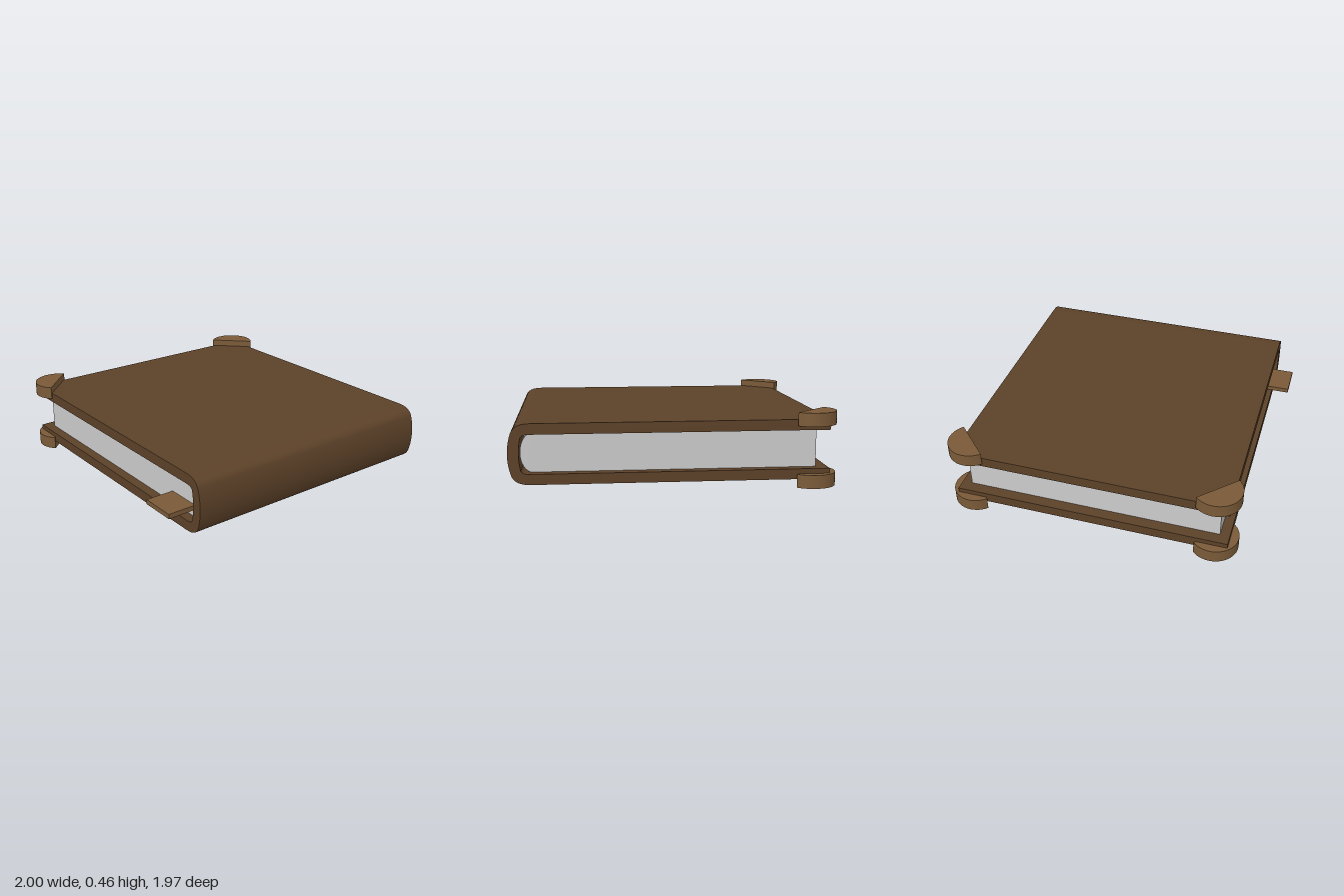
import * as THREE from 'three';
import { toCreasedNormals } from 'three/addons/utils/BufferGeometryUtils.js';

const material = (color) => new THREE.MeshStandardMaterial({ color });

// Extrude a shape along z from z0 to z1, keeping curved walls smooth
function extrude(shape, z0, z1) {
  const geometry = new THREE.ExtrudeGeometry(shape, { depth: z1 - z0, bevelEnabled: false, curveSegments: 12 });
  geometry.translate(0, 0, z0);
  return toCreasedNormals(geometry, Math.PI / 5);
}

export function createModel() {
  const group = new THREE.Group();
  const leather = material(0x5c4128);
  const trim = material(0x7a5a38);
  const paper = material(0xcccccc);

  const add = (name, geometry, mat) => {
    const mesh = new THREE.Mesh(geometry, mat);
    mesh.name = name;
    group.add(mesh);
    return mesh;
  };

  // Cover: both boards and the rounded spine as one C-shaped profile
  const cover = new THREE.Shape();
  cover.moveTo(-0.945, 0.05);
  cover.lineTo(0.86, 0.05);
  cover.bezierCurveTo(0.93, 0.05, 0.965, 0.07, 0.98, 0.11);
  cover.bezierCurveTo(1.007, 0.19, 1.007, 0.28, 0.98, 0.36);
  cover.bezierCurveTo(0.965, 0.4, 0.93, 0.418, 0.86, 0.418);
  cover.lineTo(-0.945, 0.418);
  cover.lineTo(-0.945, 0.352);
  cover.lineTo(0.87, 0.352);
  cover.quadraticCurveTo(0.91, 0.352, 0.922, 0.335);
  cover.quadraticCurveTo(0.945, 0.234, 0.922, 0.133);
  cover.quadraticCurveTo(0.91, 0.114, 0.87, 0.114);
  cover.lineTo(-0.945, 0.114);
  cover.closePath();
  add('cover', extrude(cover, -0.93, 0.857), leather);

  // Page block, rounded towards the spine
  const pages = new THREE.Shape();
  pages.moveTo(-0.873, 0.113);
  pages.lineTo(0.86, 0.113);
  pages.bezierCurveTo(0.905, 0.125, 0.929, 0.175, 0.929, 0.233);
  pages.bezierCurveTo(0.929, 0.291, 0.905, 0.341, 0.86, 0.353);
  pages.lineTo(-0.873, 0.353);
  pages.closePath();
  add('pages', extrude(pages, -0.865, 0.795), paper);

  // Half-disc corner guards on both boards
  const radius = 0.154;
  for (const [side, z, start] of [['front', 0.757, -0.75], ['back', -0.835, -1.25]]) {
    for (const [board, y] of [['Upper', 0.38], ['Lower', 0]]) {
      const halfDisc = new THREE.Shape();
      // Shape plane is (x, -z), so the front guard sweeps towards -y
      const a = side === 'front' ? Math.PI * 0.75 : Math.PI * 0.25;
      halfDisc.absarc(0, 0, radius, a, a + Math.PI, false);
      halfDisc.closePath();
      const geometry = extrude(halfDisc, 0, 0.083);
      geometry.rotateX(-Math.PI / 2);
      add(side + board + 'CornerGuard', geometry, trim).position.set(-0.847, y, z);
    }
  }

  // Bookmark tab sticking out of the pages
  const bookmark = add('bookmark', new THREE.BoxGeometry(0.23, 0.03, 0.5), trim);
  bookmark.position.set(0.753, 0.178, 0.731);

  return group;
}
